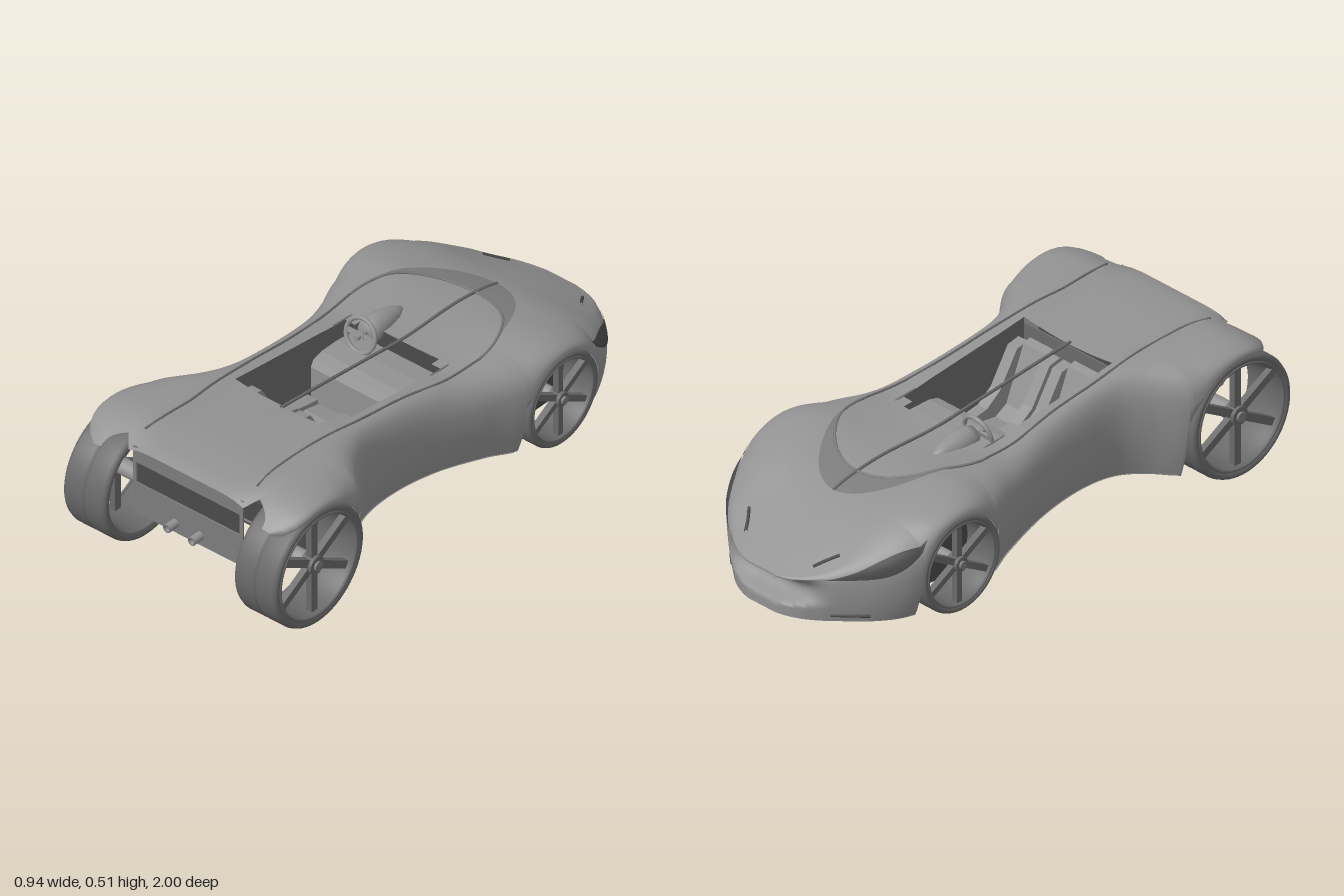
import * as THREE from 'three';

// Body paint, with darker shades for named parts
const paint = (color) => new THREE.MeshStandardMaterial({ color, side: THREE.DoubleSide });
const body = paint(0x929292), trim = paint(0x7c7c7c), rubber = paint(0x6a6a6a), dark = paint(0x4a4a4a);
const shades = {
  tyre: rubber, rimLip: rubber, spoke: rubber, hub: rubber, hubCap: trim, rearPanel: trim, rearRecess: dark, bulkhead: dark,
  diffuserStep: dark, wheelWellWall: dark, wheelWellLiner: dark, floorPan: trim, headlight: dark, hoodSlit: dark, sideSlot: dark,
  lidSeam: rubber, windscreenArc: trim, windscreenBrow: trim, centreSpine: rubber, sideWall: rubber,
  frontWall: dark, rearWall: rubber, tubFloor: rubber,
};

// Smooth interpolation through [z, value] pairs
function curve(pts) {
  const slope = (i) => {
    const a = pts[Math.max(i - 1, 0)], b = pts[Math.min(i + 1, pts.length - 1)];
    return (b[1] - a[1]) / (b[0] - a[0]);
  };
  return (z) => {
    if (z <= pts[0][0]) return pts[0][1];
    if (z >= pts[pts.length - 1][0]) return pts[pts.length - 1][1];
    let i = 0;
    while (pts[i + 1][0] < z) i++;
    const h = pts[i + 1][0] - pts[i][0], t = (z - pts[i][0]) / h, u = 1 - t;
    return u * u * (1 + 2 * t) * pts[i][1] + t * t * (3 - 2 * t) * pts[i + 1][1]
      + h * t * u * (u * slope(i) - t * slope(i + 1));
  };
}

// Body lines along the length (nose at z = -1)
const halfWidth = curve([[-1, 0.07], [-0.99, 0.115], [-0.96, 0.185], [-0.9, 0.267], [-0.8, 0.37], [-0.7, 0.43], [-0.6, 0.44],
  [-0.35, 0.438], [-0.2, 0.385], [0, 0.335], [0.2, 0.315], [0.35, 0.322], [0.45, 0.37], [0.55, 0.45], [0.62, 0.465],
  [0.8, 0.466], [0.86, 0.457], [0.9, 0.435], [0.94, 0.385]]);
const deckY = curve([[-1, 0.195], [-0.9, 0.25], [-0.8, 0.3], [-0.7, 0.345], [-0.6, 0.375], [-0.45, 0.395],
  [-0.2, 0.398], [0, 0.42], [0.42, 0.465], [0.7, 0.485], [0.87, 0.48], [0.92, 0.466]]);
const shoulderY = curve([[-1, 0.195], [-0.9, 0.24], [-0.8, 0.3], [-0.7, 0.36], [-0.6, 0.4], [-0.45, 0.43],
  [-0.3, 0.42], [-0.15, 0.408], [0, 0.428], [0.3, 0.468], [0.5, 0.497], [0.7, 0.507], [0.8, 0.503], [0.88, 0.475], [0.94, 0.43]]);
const waistY = curve([[-1, 0.19], [-0.8, 0.21], [-0.5, 0.28], [0, 0.27], [0.5, 0.34], [0.75, 0.46], [0.85, 0.44], [0.94, 0.42]]);
const sillY = curve([[-1, 0.05], [-0.7, 0.05], [-0.33, 0.05], [-0.2, 0.07], [0, 0.1], [0.2, 0.115], [0.4, 0.1], [0.56, 0.072]]);
const dish = curve([[0.42, 2], [0.65, 7]]);
const seamX = (z) => Math.min(0.25, halfWidth(z) * (z > 0.55 ? 1 : 0.8));
const surfaceY = (x, z) =>
  deckY(z) + (shoulderY(z) - deckY(z)) * Math.min(1, Math.abs(x / seamX(z)) ** dish(z));

const wheels = [
  { name: 'frontWheel', z: -0.5, y: 0.185, r: 0.178, x: 0.37, w: 0.14, arch: 0.178 },
  { name: 'rearWheel', z: 0.775, y: 0.23, r: 0.228, x: 0.373, w: 0.185, arch: 0.227 },
];
const edgeY = (z) => {
  for (const k of wheels) {
    const d = Math.abs(z - k.z);
    if (d < k.arch) return Math.max(k.y + Math.sqrt(k.arch ** 2 - d * d), z > 0.85 ? 0.412 : 0);
  }
  return sillY(z);
};
const lowY = (z) => Math.min(edgeY(z), shoulderY(z) - 0.012);
const beltY = (z) => Math.min(Math.max(waistY(z), lowY(z) + 0.008), shoulderY(z) - 0.003);
// Rounded flank from the lid seam (t = 0) to the widest line (t = 1)
const flank = (z, t) => {
  const a = t * Math.PI / 2, xi = seamX(z), yw = beltY(z);
  return [xi + (halfWidth(z) - xi) * Math.sin(a) ** 0.85, yw + (shoulderY(z) - yw) * Math.max(0, Math.cos(a)) ** 0.8];
};

function add(parent, name, geometry, x = 0, y = 0, z = 0) {
  const m = new THREE.Mesh(geometry, shades[name] ?? body);
  m.name = name;
  m.position.set(x, y, z);
  parent.add(m);
  return m;
}
const box = (w, h, d) => new THREE.BoxGeometry(w, h, d);
const rod = (r, len, axis) => {
  const g = new THREE.CylinderGeometry(r, r, len, 24);
  return axis === 'x' ? g.rotateZ(Math.PI / 2) : g.rotateX(Math.PI / 2);
};
const tube = (pts, r) => new THREE.TubeGeometry(new THREE.CatmullRomCurve3(pts), 96, r, 6);

// Grid surface through equal-length rows of points; skip() leaves holes
function loft(rows, skip = () => false) {
  const n = rows[0].length, index = [];
  for (let i = 0; i < rows.length - 1; i++)
    for (let j = 0; j < n - 1; j++) {
      if (skip(i, j)) continue;
      const a = i * n + j, b = a + n;
      index.push(a, b, a + 1, b, b + 1, a + 1);
    }
  const g = new THREE.BufferGeometry();
  g.setAttribute('position', new THREE.Float32BufferAttribute(rows.flat(2), 3));
  g.setIndex(index);
  g.computeVertexNormals();
  return g;
}

function bodyShell() {
  const zs = [-0.997, -0.993, -0.985, -0.97];
  for (let i = 0; i <= 93; i++) zs.push(-1 + i * 0.02);
  for (const k of wheels)
    for (const s of [-1, 1]) for (const e of [-0.0005, 0.0005, -0.004, -0.01]) zs.push(k.z + s * (k.arch + e));
  const stations = zs.filter((z) => z < 0.861).sort((a, b) => a - b);
  stations.unshift(-1);
  const IN = 6, ROUND = 12, SIDE = 16;
  const rows = stations.map((z, i) => {
    // tail edges sweep back: the deck and the outer fenders reach further than the seam
    const tail = Math.max(0, z - 0.7), zd = z + 0.35 * tail, half = [];
    for (let j = 0; j <= IN; j++) half.push([seamX(zd) * j / IN, surfaceY(seamX(zd) * j / IN, zd), zd]);
    for (let j = 1; j <= ROUND; j++) {
      const t = j / ROUND, zf = z + 0.5 * tail * Math.min(1, t * 2);
      half.push([...flank(zf, t), zf]);
    }
    const zo = z + 0.5 * tail, W = halfWidth(zo), low = lowY(zo), yw = beltY(zo);
    for (let j = 1; j <= SIDE; j++) {
      const t = j / SIDE;
      half.push([W - Math.min(0.2 * (yw - low), W * 0.1) * t * t, yw + (low - yw) * t, zo]);
    }
    const full = [...half.slice(1).reverse().map(([x, y, zz]) => [-x, y, zz]), ...half];
    // the mouth is a smiling crescent pressed into the nose; the first row closes the nose
    return full.map(([x, y, zz]) => {
      const k = (x / 0.23) ** 2, t = (y - 0.09 - 0.035 * k) / 0.095;
      const push = z < -0.88 && t > 0 && t < 1 ? 0.075 * Math.sin(t * Math.PI) ** 0.7 * Math.max(0, 1 - k) : 0;
      return [i ? x : 0, y, zz + push];
    });
  });
  const mid = IN + ROUND + SIDE;
  // cockpit opening, with narrower front corners
  return loft(rows, (i, j) => {
    const n = stations[i] < -0.141 ? 4 : 5;
    return stations[i] > -0.181 && stations[i + 1] < 0.421 && j >= mid - n && j < mid + n;
  });
}

// Flat underside, narrowed between the wheels
function floorPan() {
  const rows = [];
  for (let z = -0.9; z < 0.6; z += 0.015) {
    const w = Math.abs(z + 0.5) < 0.187 || z > 0.55 ? 0.27 : halfWidth(z) * 0.92;
    rows.push([-1, -0.5, 0, 0.5, 1].map((s) => [-s * w, sillY(z) + 0.004, z]));
  }
  return loft(rows);
}

// Spindle-shaped lens lying on the front flank
function headlight(side) {
  const rows = [];
  for (let i = 0; i <= 24; i++) {
    const z = -0.94 + 0.29 * i / 24, s = 0.2 * Math.sin(Math.PI * i / 24);
    rows.push([-1, -0.5, 0, 0.5, 1].map((c) => {
      const [x, y] = flank(z, 0.72 + c * s);
      return [side * (x + 0.003), y + 0.003, z - 0.001];
    }));
    if (side < 0) rows[i].reverse();
  }
  return loft(rows);
}

function wheel({ name, x, y, z, r, w }, side) {
  const g = new THREE.Group();
  g.name = name;
  g.position.set(side * x, y, z);
  const h = w / 2, ri = r * 0.86;
  // tyre with rounded shoulders and a centre groove
  const profile = [[ri, -h * 0.92], [r * 0.93, -h], [r * 0.98, -h * 0.95], [r, -h * 0.82], [r, -0.008], [r * 0.96, -0.008],
    [r * 0.96, 0.008], [r, 0.008], [r, h * 0.82], [r * 0.98, h * 0.95], [r * 0.93, h], [ri, h * 0.92], [ri * 0.97, h * 0.6],
    [ri * 0.95, 0], [ri * 0.97, -h * 0.6], [ri, -h * 0.92]].map((p) => new THREE.Vector2(...p));
  add(g, 'tyre', new THREE.LatheGeometry(profile, 64).rotateZ(Math.PI / 2));
  add(g, 'rimLip', new THREE.TorusGeometry(ri, r * 0.025, 8, 64).rotateY(Math.PI / 2), side * h * 0.92);
  for (let i = 0; i < 6; i++) {
    const spoke = box(0.024, ri * 0.98, r * 0.13).translate(0, ri * 0.49, 0).rotateX(i * Math.PI / 3);
    add(g, 'spoke', spoke, side * h * 0.6);
  }
  add(g, 'hub', rod(r * 0.15, 0.05, 'x'), side * h * 0.6);
  add(g, 'hubCap', rod(r * 0.08, 0.012, 'x'), side * (h * 0.6 + 0.028));
  add(g, 'axleStub', rod(r * 0.13, w * 1.1, 'x'), -side * h * 0.5);
  return g;
}

// Side profile in (z, y), given a thickness along x
function extrudeX(pts, width) {
  const shape = new THREE.Shape(pts.map((p) => new THREE.Vector2(...p)));
  return new THREE.ExtrudeGeometry(shape, { depth: width, bevelEnabled: false })
    .translate(0, 0, -width / 2).rotateY(-Math.PI / 2);
}

function cockpit() {
  const g = new THREE.Group();
  g.name = 'cockpit';
  add(g, 'tubFloor', box(0.42, 0.01, 0.4), 0, 0.135, 0.225);
  add(g, 'frontWall', box(0.4, 0.07, 0.006), 0, 0.363, -0.182);
  add(g, 'rearWall', box(0.42, 0.32, 0.008), 0, 0.295, 0.424);
  // sunken dashboard shelf ahead of the seats
  add(g, 'dashboard', extrudeX([[-0.18, 0.335], [-0.1, 0.345], [-0.02, 0.345], [0.02, 0.335], [0.035, 0.31], [0.035, 0.14], [0.025, 0.14], [0.01, 0.3], [-0.18, 0.32]], 0.42));
  for (const s of [-1, 1]) {
    const wall = [[-0.18, 0.32], [0.03, 0.14], [0.42, 0.14]];
    for (let z = 0.42; z > -0.19; z -= 0.1) wall.push([z, surfaceY(0.208, z)]);
    add(g, 'sideWall', extrudeX(wall, 0.006), s * 0.212);
    const seat = [[0.04, 0.14], [0.05, 0.19], [0.12, 0.205], [0.24, 0.19], [0.29, 0.22], [0.37, 0.42], [0.4, 0.43], [0.415, 0.41], [0.415, 0.14]];
    add(g, 'seat', extrudeX(seat, 0.11), s * 0.106);
    const bolster = [[0.045, 0.14], [0.055, 0.21], [0.2, 0.235], [0.26, 0.28], [0.34, 0.41], [0.39, 0.42], [0.415, 0.14]];
    for (const t of [-1, 1]) add(g, 'seatBolster', extrudeX(bolster, 0.044), s * 0.106 + t * 0.077);
  }
  // instrument cowl, steering column and wheel
  const cowl = add(g, 'instrumentCowl', new THREE.LatheGeometry(
    [[0, 0.19], [0.016, 0.18], [0.032, 0.14], [0.044, 0.08], [0.046, 0.03], [0.034, 0], [0, 0]].map((p) => new THREE.Vector2(...p)), 32)
    .rotateX(-Math.PI / 2), -0.12, 0.4, -0.14);
  cowl.rotation.x = -0.06;
  add(g, 'steeringColumn', rod(0.01, 0.1, 'z'), -0.12, 0.4, -0.14);
  const sw = new THREE.Group();
  sw.name = 'steeringWheel';
  sw.position.set(-0.12, 0.4, -0.115);
  sw.rotation.x = -0.25;
  add(sw, 'rim', new THREE.TorusGeometry(0.062, 0.008, 10, 40));
  add(sw, 'crossBar', box(0.12, 0.018, 0.008));
  add(sw, 'boss', rod(0.018, 0.014, 'z'));
  g.add(sw);
  return g;
}

function tail() {
  const g = new THREE.Group();
  g.name = 'tail';
  const rect = (C, x, y0, y1, c) => new C([[-x + c, y0], [x - c, y0], [x, y0 + c], [x, y1], [-x, y1], [-x, y0 + c]].map((p) => new THREE.Vector2(...p)));
  const panel = rect(THREE.Shape, 0.24, 0.195, 0.465, 0.012);
  panel.holes.push(rect(THREE.Path, 0.225, 0.32, 0.403, 0.004));
  add(g, 'rearPanel', new THREE.ExtrudeGeometry(panel, { depth: 0.005, bevelEnabled: false }), 0, 0, 0.9);
  add(g, 'rearRecess', box(0.46, 0.09, 0.003), 0, 0.362, 0.897);
  for (const s of [-1, 1]) {
    const pipe = [[0.011, 0], [0.016, 0], [0.016, 0.1], [0.011, 0.1], [0.011, 0]].map((p) => new THREE.Vector2(...p));
    add(g, 'exhaust', new THREE.LatheGeometry(pipe, 24).rotateX(Math.PI / 2), s * 0.054, 0.235, 0.85);
  }
  add(g, 'bulkhead', box(0.52, 0.36, 0.01), 0, 0.27, 0.54);
  // stepped diffuser rising towards the rear
  for (let i = 0; i < 3; i++) add(g, 'diffuserStep', box(0.53, 0.04, 0.03), 0, 0.078 + 0.041 * i, 0.56 + 0.008 * i);
  return g;
}

export function createModel() {
  const car = new THREE.Group();
  car.name = 'car';
  add(car, 'bodyShell', bodyShell());
  add(car, 'floorPan', floorPan());
  car.add(cockpit(), tail());

  // windscreen arc, brow crescent and centre spine, laid over the surface
  const on = (x, z) => new THREE.Vector3(x, surfaceY(x, z) + 0.003, z);
  const arc = [], brow = [];
  for (let i = 0; i <= 32; i++) {
    const a = Math.PI * i / 32, s = Math.sin(a), x = -0.28 * Math.cos(a), z = -0.25 - 0.31 * s;
    arc.push(on(x, z));
    brow.push([0, 0.33, 0.67, 1].map((k) => on(x, z - 0.11 * k * s * s).toArray()));
  }
  add(car, 'windscreenArc', tube(arc, 0.005));
  add(car, 'windscreenBrow', loft(brow));
  const spine = [];
  for (let z = -0.67; z <= 0.43; z += 0.05) spine.push(on(0, z));
  add(car, 'centreSpine', tube(spine, 0.006));

  for (const s of [-1, 1]) {
    const seam = [[0.28, -0.25], [0.27, -0.1], [0.25, 0.1], [0.245, 0.3], [0.235, 0.5], [0.23, 0.62], [0.235, 0.75], [0.245, 0.84]];
    add(car, 'lidSeam', tube(seam.map(([x, z]) => on(s * x, z)), 0.004));
    add(car, 'hoodSlit', tube([on(s * 0.16, -0.92), on(s * 0.185, -0.885), on(s * 0.215, -0.85)], 0.006));
    add(car, 'sideSlot', tube([-0.91, -0.87, -0.82].map((z) => new THREE.Vector3(s * (halfWidth(z) - 0.022), 0.075, z)), 0.007));
    add(car, 'headlight', headlight(s));
    for (const k of wheels) car.add(wheel(k, s));
    // front wheel well
    const f = wheels[0];
    const liner = new THREE.CylinderGeometry(f.arch, f.arch, 0.14, 32, 1, true, 0, Math.PI).rotateZ(Math.PI / 2);
    add(car, 'wheelWellLiner', liner, s * 0.355, f.y, f.z);
    add(car, 'wheelWellWall', box(0.006, 0.3, 0.37), s * 0.283, 0.2, f.z);
  }
  return car;
}
